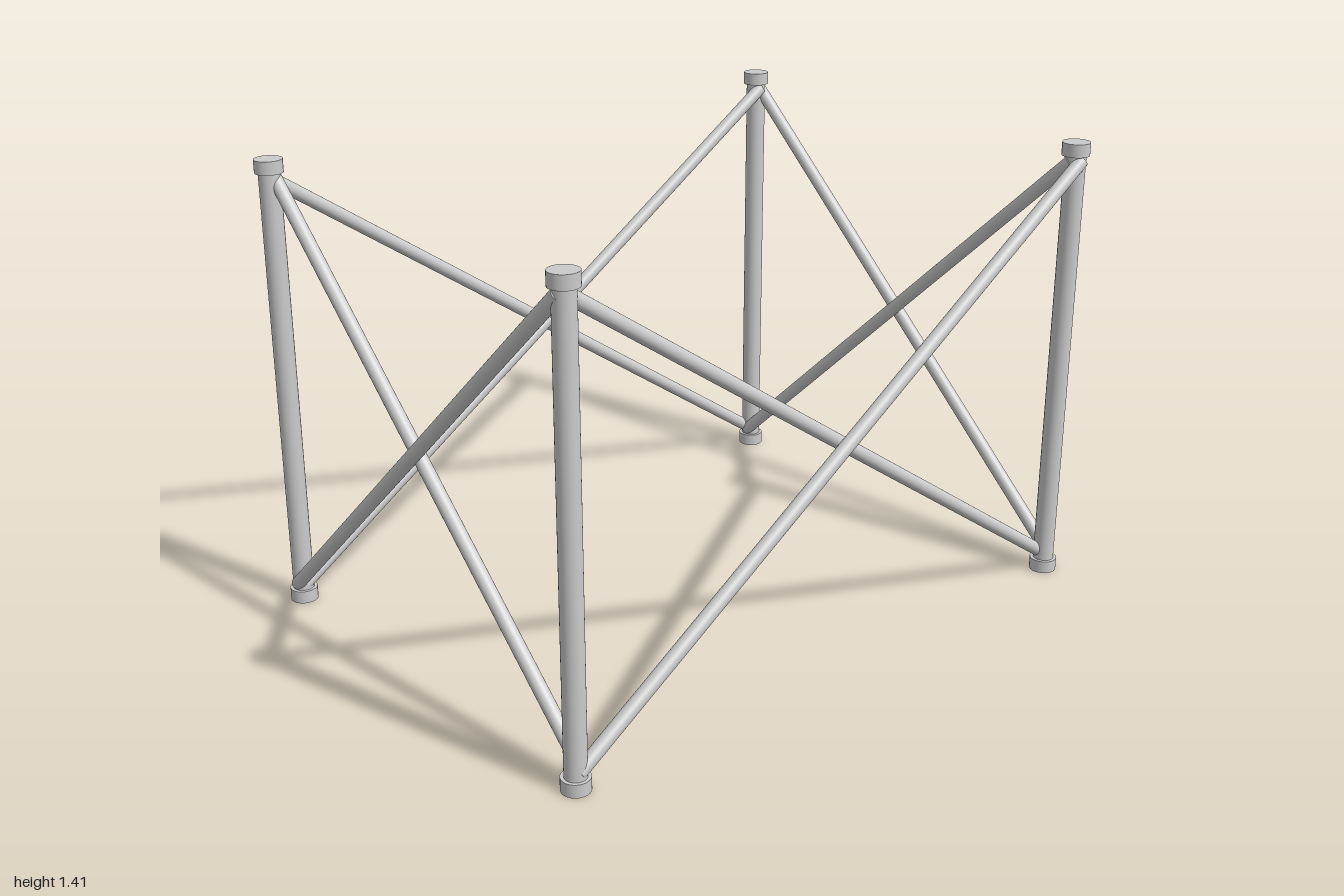
import * as THREE from 'three';

const X = 0.957, Z = 0.694, H = 1.41;      // post positions and overall height
const CAP_H = 0.04, CAP_R = 0.042, POST_R = 0.032, BAR_R = 0.021;
const LOW = 0.055, HIGH = H - 0.055;       // heights where the braces meet the posts

const material = new THREE.MeshStandardMaterial({ color: 0xcccccc });

// Round rod between two points
function rod(name, a, b, radius) {
  const dir = b.clone().sub(a);
  const mesh = new THREE.Mesh(new THREE.CylinderGeometry(radius, radius, dir.length(), 32), material);
  mesh.name = name;
  mesh.position.copy(a).add(b).multiplyScalar(0.5);
  mesh.quaternion.setFromUnitVectors(new THREE.Vector3(0, 1, 0), dir.normalize());
  return mesh;
}

const v = (x, y, z) => new THREE.Vector3(x, y, z);

// Corner post with a foot and a top cap
function cornerPost(x, z) {
  const post = new THREE.Group();
  post.name = 'cornerPost';
  post.add(
    rod('post', v(x, CAP_H, z), v(x, H - CAP_H, z), POST_R),
    rod('foot', v(x, 0, z), v(x, CAP_H, z), CAP_R),
    rod('topCap', v(x, H - CAP_H, z), v(x, H, z), CAP_R)
  );
  return post;
}

// Half of the frame: one long and one short crossed pair, two posts
function halfFrame() {
  const half = new THREE.Group();
  half.name = 'halfFrame';
  half.add(cornerPost(X, Z), cornerPost(-X, Z));

  // Long side: the braces pass side by side, slightly skewed
  half.add(
    rod('longBraceOuter', v(-X, LOW, Z + 0.013), v(X, HIGH, Z + 0.022), BAR_R),
    rod('longBraceInner', v(-X, HIGH, Z - 0.022), v(X, LOW, Z - 0.013), BAR_R)
  );

  // Short side
  half.add(
    rod('shortBraceOuter', v(X + 0.019, LOW, Z), v(X + 0.015, HIGH, -Z), BAR_R),
    rod('shortBraceInner', v(X - 0.015, HIGH, Z), v(X - 0.019, LOW, -Z), BAR_R)
  );
  return half;
}

export function createModel() {
  const model = new THREE.Group();
  model.name = 'foldingFrame';
  // The frame repeats under a half turn
  for (const turn of [0, Math.PI]) {
    const half = halfFrame();
    half.rotation.y = turn;
    model.add(half);
  }
  return model;
}
